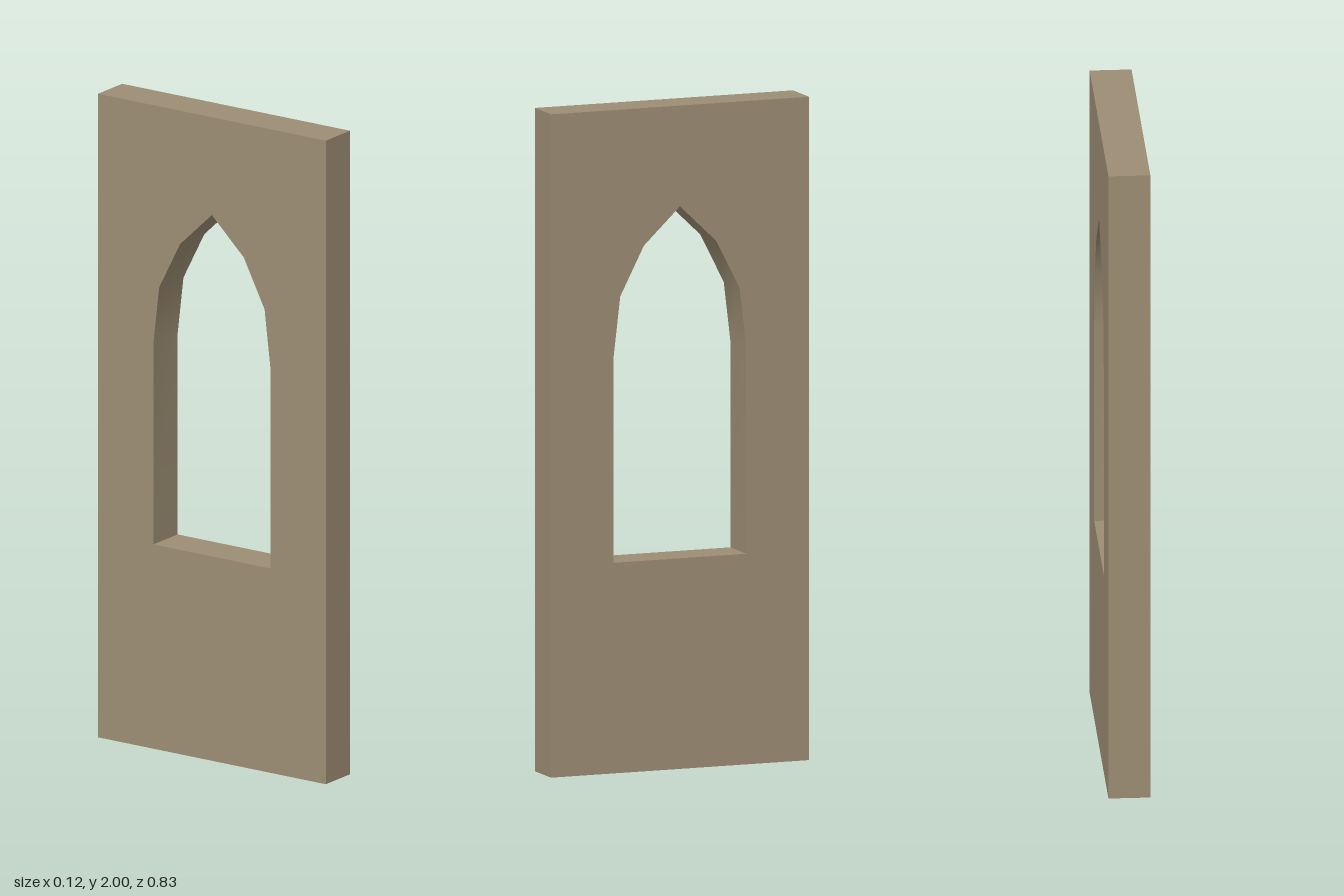
import * as THREE from 'three';
import { toCreasedNormals } from 'three/addons/utils/BufferGeometryUtils.js';

const THICKNESS = 0.125;
const HALF_WIDTH = 0.415;
const HEIGHT = 2;

export function createModel() {
  const group = new THREE.Group();
  group.name = 'windowWall';

  const stone = new THREE.MeshStandardMaterial({ color: 0x9d8e74 });
  stone.name = 'sandstone';

  // Rectangular wall slab
  const wall = new THREE.Shape([
    new THREE.Vector2(-HALF_WIDTH, 0),
    new THREE.Vector2(HALF_WIDTH, 0),
    new THREE.Vector2(HALF_WIDTH, HEIGHT),
    new THREE.Vector2(-HALF_WIDTH, HEIGHT),
  ]);

  // Pointed-arch opening: one side from sill to springing to shoulder, mirrored about the apex
  const side = [[0.213, 0.635], [0.213, 1.26], [0.192, 1.437], [0.116, 1.585]];
  const outline = [
    ...side,
    [0, 1.696],
    ...side.map(([x, y]) => [-x, y]).reverse(),
  ];
  wall.holes.push(new THREE.Path(outline.map(([x, y]) => new THREE.Vector2(x, y))));

  // Extrude through the thickness, then turn the broad faces to +x and -x
  const slab = new THREE.ExtrudeGeometry(wall, { depth: THICKNESS, bevelEnabled: false });
  slab.translate(0, 0, -THICKNESS / 2);
  slab.rotateY(Math.PI / 2);

  // Smooth arch soffit, sharp apex and corners
  const mesh = new THREE.Mesh(toCreasedNormals(slab, 0.6), stone);
  mesh.name = 'archedWindowWall';
  group.add(mesh);

  return group;
}
